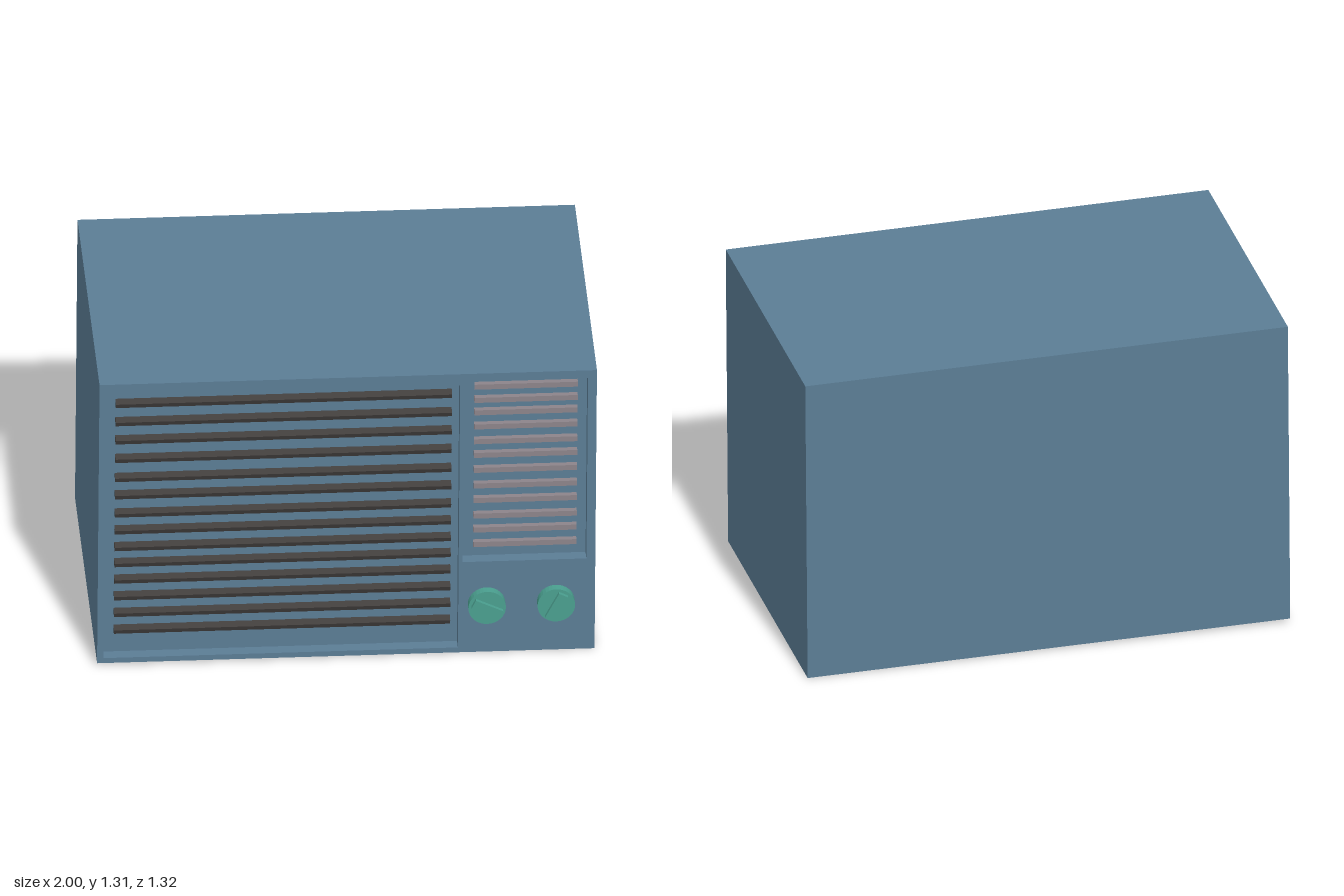
import * as THREE from 'three';

const W = 1.985, H = 1.3, D = 1.257, RECESS = 0.05;
const CENTER = new THREE.Vector3(-0.0025, 0.657, -0.027);
const FRONT = D / 2;

const paint = (color) => new THREE.MeshStandardMaterial({ color, flatShading: true });
const caseMat = paint(0x5b7d95);
const louverMat = paint(0x403d3b);
const ventMat = paint(0x8c848a);
const knobMat = paint(0x4a9f8f);

function add(parent, name, geometry, material, x = 0, y = 0, z = 0) {
  const mesh = new THREE.Mesh(geometry, material);
  mesh.name = name;
  mesh.position.set(x, y, z);
  parent.add(mesh);
  return mesh;
}

// Closed rectangle path from its edges
function rect(path, x0, x1, y0, y1) {
  path.moveTo(x0, y0);
  path.lineTo(x1, y0);
  path.lineTo(x1, y1);
  path.lineTo(x0, y1);
  path.closePath();
  return path;
}

// Row of horizontal bars between x0 and x1, one per height
function bars(name, heights, x0, x1, thick, depth, z, tilt, material) {
  const group = new THREE.Group();
  group.name = name;
  const geometry = new THREE.BoxGeometry(x1 - x0, thick, depth);
  for (const y of heights) {
    add(group, 'slat', geometry, material, (x0 + x1) / 2, y - CENTER.y, z).rotation.x = tilt;
  }
  return group;
}

// Round dial with a raised, turned grip
function knob(name, x, y, angle) {
  const group = new THREE.Group();
  group.name = name;
  const dial = new THREE.CylinderGeometry(0.075, 0.075, 0.036, 32).rotateX(Math.PI / 2);
  add(group, 'dial', dial, knobMat, 0, 0, 0.017);
  add(group, 'grip', new THREE.BoxGeometry(0.122, 0.04, 0.02), knobMat, 0, 0, 0.041).rotation.z = angle;
  group.position.set(x, y - CENTER.y, FRONT);
  return group;
}

export function createModel() {
  const model = new THREE.Group();
  model.name = 'windowAirConditioner';

  // The whole unit sits very slightly skewed
  const unit = new THREE.Group();
  unit.name = 'unit';
  unit.position.copy(CENTER);
  unit.rotation.set(0, -0.005, -0.0075);
  model.add(unit);

  // Cabinet, whose front face is the floor of both recesses
  add(unit, 'cabinet', new THREE.BoxGeometry(W, H, D - RECESS), caseMat, 0, 0, -RECESS / 2);

  // Front frame with the grille and vent openings
  const frame = rect(new THREE.Shape(), -W / 2, W / 2, -H / 2, H / 2);
  frame.holes.push(
    rect(new THREE.Path(), -0.967, 0.447, -0.627, 0.598),
    rect(new THREE.Path(), 0.463, 0.957, -0.229, 0.614),
  );
  const frameGeo = new THREE.ExtrudeGeometry(frame, { depth: RECESS, bevelEnabled: false });
  add(unit, 'frontFrame', frameGeo, caseMat, 0, 0, FRONT - RECESS);

  // Dark louvers of the main grille
  const louvers = [1.197, 1.112, 1.027, 0.94, 0.851, 0.77, 0.685,
    0.606, 0.528, 0.453, 0.376, 0.298, 0.22, 0.142];
  unit.add(bars('mainLouvers', louvers, -0.925, 0.417, 0.02, 0.032, FRONT - 0.036, 0.3, louverMat));

  // Pale slats of the side vent
  const slats = [1.227, 1.165, 1.107, 1.041, 0.972, 0.908, 0.838,
    0.765, 0.697, 0.624, 0.559, 0.491];
  unit.add(bars('ventSlats', slats, 0.507, 0.919, 0.023, 0.025, FRONT - 0.04, 0, ventMat));

  // Control knobs
  unit.add(knob('innerKnob', 0.56, 0.232, -0.45));
  unit.add(knob('outerKnob', 0.836, 0.234, 1.1));

  return model;
}
